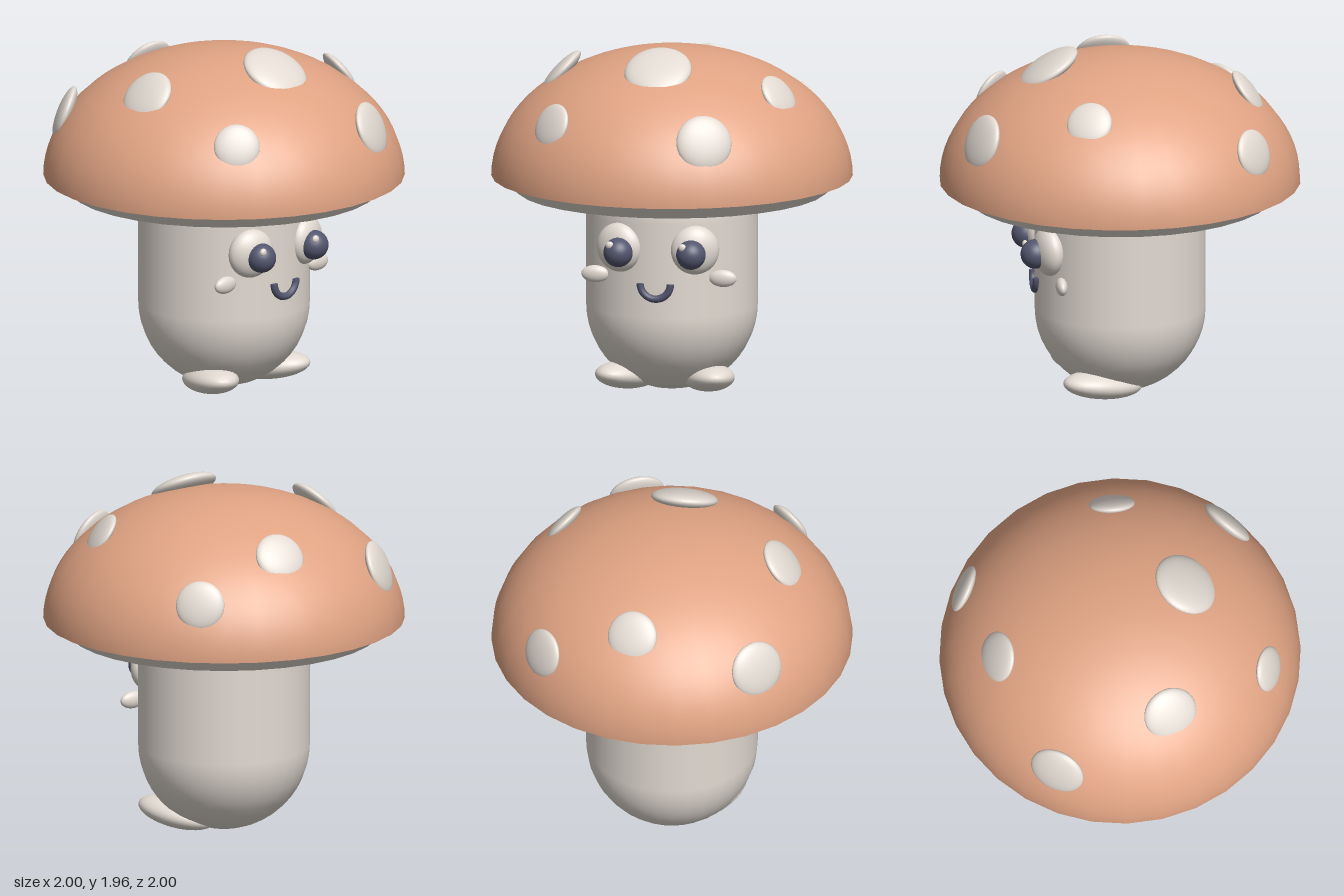
import * as THREE from 'three';

const mat = (name, color, extra = {}) => {
  const m = new THREE.MeshStandardMaterial({ color, ...extra });
  m.name = name;
  return m;
};

export function createModel() {
  const model = new THREE.Group();
  model.name = 'mushroom';
  const cream = mat('cream', 0xe2dad2);
  const orange = mat('cap orange', 0xe0a383, { side: THREE.DoubleSide });
  const navy = mat('navy', 0x54566f);

  const add = (name, geometry, material, x = 0, y = 0, z = 0) => {
    const mesh = new THREE.Mesh(geometry, material);
    mesh.name = name;
    mesh.position.set(x, y, z);
    model.add(mesh);
    return mesh;
  };
  const ball = new THREE.SphereGeometry(1, 32, 20);
  const ellipsoid = (name, material, pos, radii) => {
    const mesh = add(name, ball, material, ...pos);
    mesh.scale.set(...radii);
    return mesh;
  };

  // Cap dome, its flat rim and the underside
  const capY = 1.2, capH = 0.72;
  const dome = new THREE.SphereGeometry(1, 32, 20, 0, Math.PI * 2, 0, Math.PI / 2);
  add('cap', dome, orange, 0, capY, 0).scale.y = capH;
  const rim = new THREE.RingGeometry(0.94, 1, 32).rotateX(Math.PI / 2);
  add('capRim', rim, orange, 0, capY, 0);
  add('gills', new THREE.CylinderGeometry(0.955, 0.86, 0.08, 32), cream, 0, 1.16, 0);

  // Spots: x, z, radius; flattened balls facing away from the cap centre
  const spots = [
    [0, 0.4, 0.187], [0.34, 0.81, 0.155], [-0.55, 0.65, 0.127], [0.65, 0.25, 0.127],
    [-0.62, 0.02, 0.152], [0.1, -0.7, 0.14], [0.61, -0.67, 0.135], [-0.59, -0.655, 0.155],
  ];
  const forward = new THREE.Vector3(0, 0, 1);
  for (const [x, z, r] of spots) {
    const h = capH * Math.sqrt(1 - x * x - z * z);
    const spot = ellipsoid('capSpot', cream, [x, capY + h, z], [r, r, r * 0.28]);
    spot.quaternion.setFromUnitVectors(forward, new THREE.Vector3(x, h, z).normalize());
  }

  // Stem
  add('stem', new THREE.CapsuleGeometry(0.475, 0.525, 12, 32), cream, 0, 0.742, 0);

  // Paired features
  for (const s of [-1, 1]) {
    const side = s > 0 ? 'left' : 'right';
    const foot = ellipsoid(side + 'Foot', cream, [s * 0.23, 0.092, 0.125], [0.14, 0.078, 0.24]);
    foot.rotation.set(-0.13, s * 0.4, 0, 'YXZ');
    const eye = ellipsoid(side + 'Eye', cream, [s * 0.214, 0.865, 0.425], [0.135, 0.137, 0.075]);
    eye.rotation.y = s * 0.3;
    ellipsoid(side + 'Pupil', navy, [s * 0.205, 0.85, 0.497], [0.082, 0.082, 0.082]);
    ellipsoid(side + 'Glint', cream, [s * 0.205 - 0.038, 0.898, 0.55], [0.022, 0.022, 0.016]);
    ellipsoid(side + 'Cheek', cream, [s * 0.36, 0.7, 0.37], [0.078, 0.048, 0.032]);
  }

  // Smile: lower half ring with closed ends
  const smile = new THREE.TorusGeometry(0.085, 0.021, 12, 24, Math.PI).rotateZ(Math.PI);
  add('mouth', smile, navy, 0, 0.675, 0.477);
  for (const s of [-1, 1]) {
    const end = new THREE.CircleGeometry(0.021, 12).rotateX(-Math.PI / 2);
    add('mouthEnd', end, navy, s * 0.085, 0.675, 0.477);
  }
  return model;
}
